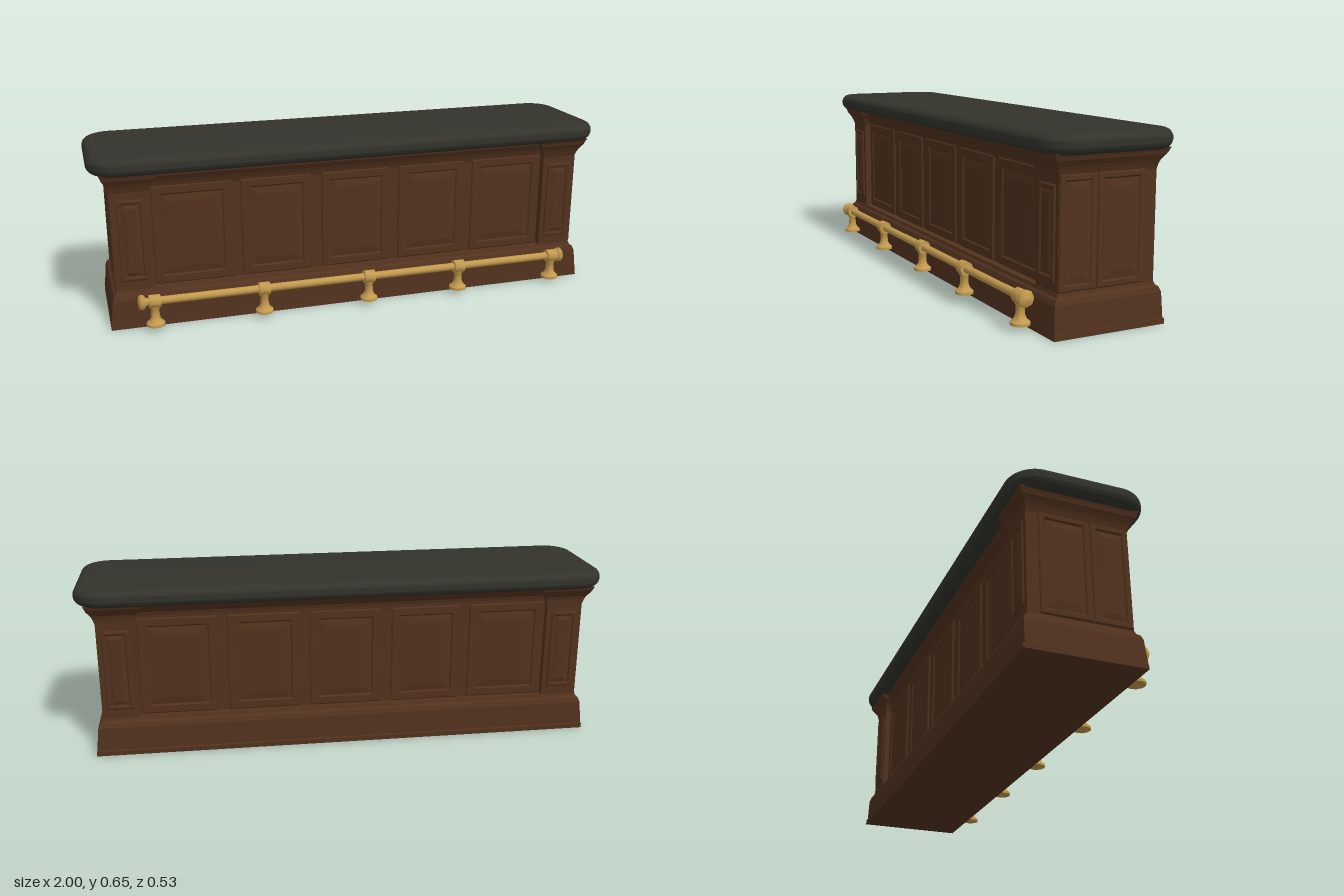
import * as THREE from 'three';
import { mergeGeometries, toCreasedNormals } from 'three/addons/utils/BufferGeometryUtils.js';

// Stack of rectangles [y, x0, x1, z0, z1] joined into a closed, flat-shaded solid
function loft(rows) {
  const rings = rows.map(([y, x0, x1, z0, z1]) => [[x0, y, z1], [x1, y, z1], [x1, y, z0], [x0, y, z0]]);
  const pos = [];
  const quad = (a, b, c, d) => pos.push(...a, ...b, ...c, ...a, ...c, ...d);
  for (let i = 0; i < rings.length - 1; i++) {
    const lo = rings[i], hi = rings[i + 1];
    for (let k = 0; k < 4; k++) quad(lo[k], lo[(k + 1) % 4], hi[(k + 1) % 4], hi[k]);
  }
  const top = rings[rings.length - 1], bottom = rings[0];
  quad(...top);
  quad(bottom[3], bottom[2], bottom[1], bottom[0]);
  const g = new THREE.BufferGeometry();
  g.setAttribute('position', new THREE.Float32BufferAttribute(pos, 3));
  g.computeVertexNormals();
  return g;
}

// Same, from one rectangle and a profile of [y, outward offset, back offset]
const moulded = (x0, x1, z0, z1, profile) =>
  loft(profile.map(([y, o, back = o]) => [y, x0 - o, x1 + o, z0 - back, z1 + o]));

// Framed panel with a shallow groove and raised, bevelled field, facing +z
function panelGeometry(w, h, rim, bevel) {
  const g = moulded(-w / 2, w / 2, -h / 2, h / 2, [
    [-0.004, 0], [0.004, 0], [0.007, -0.004], [0.007, -rim], [0.002, -rim - 0.005],
    [0.002, -rim - 0.007], [0.007, -rim - 0.007 - bevel],
  ]);
  return g.rotateX(Math.PI / 2);
}

export function createModel() {
  const model = new THREE.Group();
  model.name = 'barCounter';
  const material = (name, color) => {
    const m = new THREE.MeshStandardMaterial({ color });
    m.name = name;
    return m;
  };
  const wood = material('dark wood', 0x52321e);
  const stone = material('dark stone', 0x33332c);
  const brass = material('brass', 0xc39a4e);
  const add = (name, geometry, mat, x = 0, y = 0, z = 0, turn = 0) => {
    const mesh = new THREE.Mesh(geometry, mat);
    mesh.name = name;
    mesh.position.set(x, y, z);
    mesh.rotation.y = turn;
    model.add(mesh);
  };

  // Plinth with a sloped upper edge and a low back toe
  add('plinth', loft([
    [0, -0.956, 0.956, -0.232, 0.192], [0.018, -0.955, 0.955, -0.232, 0.19],
    [0.02, -0.954, 0.954, -0.226, 0.19], [0.108, -0.945, 0.945, -0.224, 0.185],
    [0.125, -0.939, 0.939, -0.217, 0.178], [0.132, -0.93, 0.93, -0.208, 0.169],
    [0.142, -0.927, 0.927, -0.205, 0.166],
  ]), wood);

  // Recessed body and full-depth end blocks, each flaring into a cornice
  const bodyFront = 0.136, bodyBack = -0.176;
  const cornice = [
    [0.13, 0], [0.515, 0], [0.535, 0.007, 0.002], [0.548, 0.013, 0.006],
    [0.562, 0.022, 0.016], [0.566, 0.025, 0.019], [0.576, 0.028, 0.026], [0.59, 0.034, 0.031],
  ];
  add('body', moulded(-0.8, 0.8, bodyBack, bodyFront, cornice), wood);
  for (const s of [-1, 1]) {
    add('endBlock', moulded(s * 0.857 - 0.069, s * 0.857 + 0.069, -0.204, 0.164, cornice), wood);
  }

  // Front and back panels
  const bays = [[-0.633, 0.295], [-0.315, 0.27], [0, 0.275], [0.312, 0.275], [0.633, 0.295]];
  for (const [x, w] of bays) {
    const g = panelGeometry(w, 0.38, 0.03, 0.026);
    add('frontPanel', g, wood, x, 0.333, bodyFront);
    add('backPanel', g, wood, x, 0.333, bodyBack, Math.PI);
  }

  // Narrow panels on the end blocks, and two panels on each end
  const narrow = panelGeometry(0.1, 0.31, 0.012, 0.014);
  const endFront = panelGeometry(0.137, 0.375, 0.018, 0.022);
  const endBack = panelGeometry(0.18, 0.375, 0.018, 0.028);
  for (const s of [-1, 1]) {
    add('frontPilasterPanel', narrow, wood, s * 0.857, 0.332, 0.164);
    add('backPilasterPanel', narrow, wood, s * 0.857, 0.332, -0.204, Math.PI);
    add('endPanelFront', endFront, wood, s * 0.925, 0.333, 0.093, s * Math.PI / 2);
    add('endPanelBack', endBack, wood, s * 0.925, 0.333, -0.07, s * Math.PI / 2);
  }

  // Stone top with rounded corners and a bullnose edge
  const b = 0.0325, hx = 1 - b, hz = 0.247 - b, r = 0.075;
  const outline = new THREE.Shape();
  outline.absarc(hx - r, hz - r, r, 0, Math.PI / 2);
  outline.absarc(-hx + r, hz - r, r, Math.PI / 2, Math.PI);
  outline.absarc(-hx + r, -hz + r, r, Math.PI, Math.PI * 1.5);
  outline.absarc(hx - r, -hz + r, r, Math.PI * 1.5, Math.PI * 2);
  const slab = new THREE.ExtrudeGeometry(outline, {
    depth: 0.002, bevelThickness: b, bevelSize: b, bevelSegments: 8, curveSegments: 10,
  });
  slab.rotateX(-Math.PI / 2);
  add('counterTop', toCreasedNormals(slab, 0.7), stone, 0, 0.6175, -0.0175);

  // Brass foot rail
  const railZ = 0.232, railY = 0.116;
  const rail = new THREE.CylinderGeometry(0.015, 0.015, 1.63, 10).rotateZ(Math.PI / 2);
  add('footRail', rail, brass, 0, railY, railZ);

  // Turned posts with a collar around the rail
  const post = new THREE.LatheGeometry([
    [0, 0.022], [0.034, 0.022], [0.034, 0.032], [0.027, 0.037], [0.02, 0.046],
    [0.016, 0.058], [0.015, 0.085], [0.02, 0.094], [0.02, 0.11], [0, 0.11],
  ].map(([x, y]) => new THREE.Vector2(x, y)), 12);
  const collar = new THREE.CylinderGeometry(0.026, 0.026, 0.042, 8).rotateZ(Math.PI / 2).translate(0, railY, 0);
  const postGeometry = toCreasedNormals(mergeGeometries([post, collar]), 0.8);
  for (const x of [-0.798, -0.39, 0.025, 0.4, 0.81]) add('railPost', postGeometry, brass, x, 0, railZ);

  // Turned end knobs
  const knob = new THREE.LatheGeometry([
    [0.015, 0], [0.016, 0.02], [0.027, 0.027], [0.031, 0.036], [0.025, 0.046], [0, 0.051],
  ].map(([x, y]) => new THREE.Vector2(x, y)), 8).rotateZ(-Math.PI / 2);
  for (const s of [-1, 1]) {
    add('railKnob', knob, brass, s * 0.809, railY, railZ, s < 0 ? Math.PI : 0);
  }
  return model;
}
